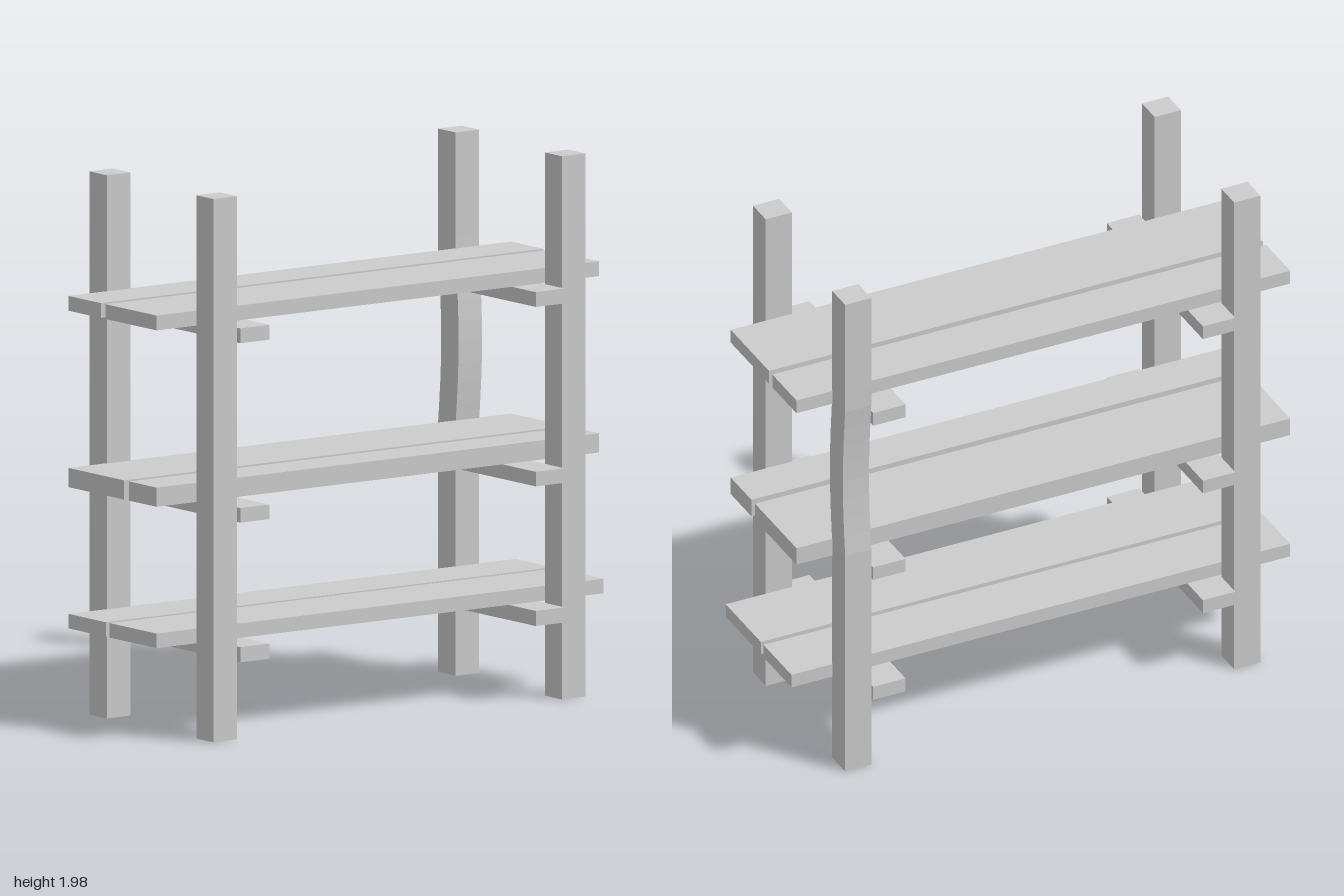
import * as THREE from 'three';

const material = new THREE.MeshStandardMaterial({ color: 0xcccccc, flatShading: true });

// Box given by its min and max on each axis
function addBox(parent, name, [x0, x1], [y0, y1], [z0, z1], ySegments = 1) {
  const geometry = new THREE.BoxGeometry(x1 - x0, y1 - y0, z1 - z0, 1, ySegments, 1);
  geometry.translate((x0 + x1) / 2, (y0 + y1) / 2, (z0 + z1) / 2);
  const mesh = new THREE.Mesh(geometry, material);
  mesh.name = name;
  parent.add(mesh);
  return mesh;
}

// Bows the middle of a post forwards
function bowPost(mesh) {
  const from = 0.91, to = 1.53;
  const p = mesh.geometry.attributes.position;
  for (let i = 0; i < p.count; i++) {
    const t = (p.getY(i) - from) / (to - from);
    if (t > 0 && t < 1) p.setZ(i, p.getZ(i) + 0.019 * Math.sin(Math.PI * t));
  }
  mesh.geometry.computeVertexNormals();
}

export function createModel() {
  const rack = new THREE.Group();
  rack.name = 'shelfRack';

  // Four upright posts, the back left one warped
  const posts = new THREE.Group();
  posts.name = 'posts';
  rack.add(posts);
  const height = 1.98;
  for (const [side, x] of [['Right', [-0.83, -0.725]], ['Left', [0.73, 0.835]]]) {
    addBox(posts, 'front' + side + 'Post', x, [0, height], [0.27, 0.373]);
    const warped = side === 'Left';
    const back = addBox(posts, 'back' + side + 'Post', x, [0, height], [-0.375, -0.27], warped ? 26 : 1);
    if (warped) bowPost(back);
  }

  // Each shelf: two planks with a gap between them, resting on two cross beams
  const shelves = [
    { name: 'bottomShelf', beamY: [0.283, 0.338], plankY: [0.345, 0.398], gap: [-0.046, -0.024], end: 1 },
    { name: 'middleShelf', beamY: [0.792, 0.845], plankY: [0.86, 0.93], gap: [0.063, 0.092], end: 0.98 },
    { name: 'topShelf', beamY: [1.446, 1.5], plankY: [1.503, 1.557], gap: [-0.077, -0.05], end: 0.98 },
  ];
  for (const { name, beamY, plankY, gap, end } of shelves) {
    const shelf = new THREE.Group();
    shelf.name = name;
    rack.add(shelf);
    addBox(shelf, 'frontPlank', [-1, end], plankY, [gap[1], 0.26]);
    addBox(shelf, 'backPlank', [-1, end], plankY, [-0.273, gap[0]]);
    addBox(shelf, 'rightCrossBeam', [-0.722, -0.592], beamY, [-0.39, 0.39]);
    addBox(shelf, 'leftCrossBeam', [0.6, 0.73], beamY, [-0.39, 0.39]);
  }
  return rack;
}
